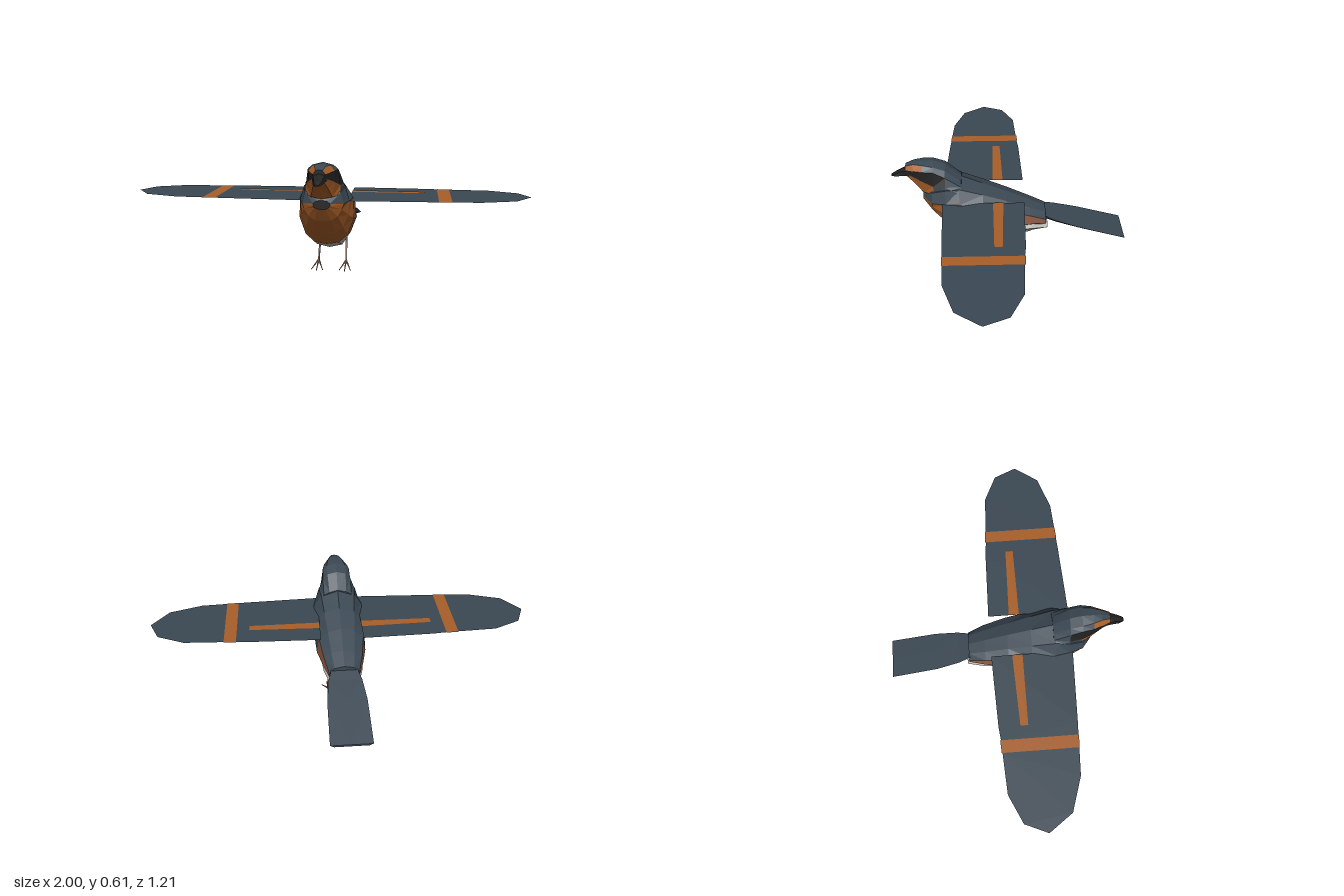
import * as THREE from 'three';

const mat = (name, color) => {
  const m = new THREE.MeshStandardMaterial({ color });
  m.name = name;
  return m;
};

export function createModel() {
  const blue = mat('slate blue', 0x3b4853);
  const orange = mat('orange', 0xa85f29);
  const flank = mat('rosy flank', 0x8f5c44);
  const black = mat('black', 0x212121);
  const white = mat('pale grey', 0xbab8b2);
  const legBrown = mat('leg brown', 0x94705c);
  const underGrey = mat('underwing grey', 0x666668);
  const underTan = mat('underwing tan', 0xa07844);

  const bird = new THREE.Group();
  bird.name = 'bird';

  // Faceted mirrored loft, front to back. A ring is [z, [x, y], ...] from bottom centre to top centre.
  // paint(strip, segment, triangle) picks the material of each face.
  function loft(name, rings, paint, frontCap, backCap) {
    const faces = new Map();
    const add = (m, a, b, c) => {
      if (!faces.has(m)) faces.set(m, []);
      const flip = (p) => [-p[0], p[1], p[2]];
      faces.get(m).push(...a, ...b, ...c, ...flip(a), ...flip(c), ...flip(b));
    };
    const pts = rings.map(([z, ...half]) => half.map(([x, y]) => [x, y, z]));
    for (let j = 0; j < pts.length - 1; j++) {
      for (let i = 0; i < pts[j].length - 1; i++) {
        const a = pts[j][i], b = pts[j][i + 1], c = pts[j + 1][i], d = pts[j + 1][i + 1];
        add(paint(i, j, 0), a, c, d);
        add(paint(i, j, 1), a, d, b);
      }
    }
    const first = pts[0], last = pts[pts.length - 1];
    for (let i = 1; i < first.length - 1; i++) {
      add(frontCap, first[0], first[i], first[i + 1]);
      add(backCap, last[0], last[i + 1], last[i]);
    }
    const group = new THREE.Group();
    group.name = name;
    for (const [m, list] of faces) {
      const g = new THREE.BufferGeometry();
      g.setAttribute('position', new THREE.Float32BufferAttribute(list, 3));
      g.computeVertexNormals();
      const mesh = new THREE.Mesh(g, m);
      mesh.name = `${name} ${m.name}`;
      group.add(mesh);
    }
    bird.add(group);
  }

  // Body: pale belly, orange breast, rosy flanks, blue back
  loft('body', [
    [0.448, [0, 0.395], [0.02, 0.398], [0.032, 0.404], [0.04, 0.412], [0.04, 0.424], [0.025, 0.436], [0, 0.44]],
    [0.40, [0, 0.33], [0.04, 0.335], [0.07, 0.355], [0.09, 0.39], [0.1, 0.415], [0.085, 0.47], [0, 0.5]],
    [0.33, [0, 0.25], [0.05, 0.26], [0.09, 0.29], [0.115, 0.35], [0.12, 0.42], [0.1, 0.49], [0, 0.53]],
    [0.26, [0, 0.185], [0.06, 0.195], [0.105, 0.235], [0.135, 0.32], [0.132, 0.425], [0.09, 0.49], [0, 0.522]],
    [0.14, [0, 0.14], [0.065, 0.155], [0.11, 0.225], [0.137, 0.305], [0.13, 0.395], [0.08, 0.45], [0, 0.472]],
    [0.02, [0, 0.162], [0.06, 0.18], [0.11, 0.265], [0.13, 0.28], [0.118, 0.37], [0.07, 0.405], [0, 0.422]],
    [-0.10, [0, 0.18], [0.055, 0.2], [0.09, 0.268], [0.105, 0.28], [0.1, 0.33], [0.06, 0.355], [0, 0.368]],
    [-0.185, [0, 0.235], [0.05, 0.24], [0.075, 0.262], [0.08, 0.272], [0.078, 0.29], [0.05, 0.318], [0, 0.328]],
  ], (i, j, t) => {
    if (i >= 4 || (i === 3 && j === 4 && t === 0)) return blue;
    if (j < 3) return orange;
    return i < 2 ? white : flank;
  }, black, blue);

  // Head: orange throat and brow, black mask, blue crown and nape
  loft('head', [
    [0.53, [0, 0.535], [0.02, 0.54], [0.028, 0.555], [0.028, 0.573], [0.016, 0.59], [0, 0.593]],
    [0.49, [0, 0.5], [0.035, 0.505], [0.045, 0.542], [0.045, 0.575], [0.026, 0.604], [0, 0.607]],
    [0.445, [0, 0.445], [0.05, 0.455], [0.064, 0.525], [0.062, 0.578], [0.04, 0.605], [0, 0.613]],
    [0.39, [0, 0.435], [0.085, 0.46], [0.082, 0.505], [0.072, 0.58], [0.05, 0.599], [0, 0.612]],
    [0.33, [0, 0.42], [0.11, 0.44], [0.092, 0.505], [0.075, 0.55], [0.05, 0.578], [0, 0.59]],
    [0.25, [0, 0.4], [0.115, 0.42], [0.1, 0.465], [0.075, 0.495], [0.045, 0.51], [0, 0.522]],
  ], (i, j) => {
    if (i < 2) return j < 3 ? orange : blue;
    if (i === 2) return j < 4 ? black : blue;
    if (i === 3) return j < 2 ? orange : blue;
    return blue;
  }, black, blue);

  // Beak, slightly hooked
  loft('beak', [
    [0.605, [0, 0.528], [0.01, 0.53], [0.008, 0.534], [0, 0.536]],
    [0.58, [0, 0.53], [0.022, 0.533], [0.018, 0.545], [0, 0.551]],
    [0.55, [0, 0.532], [0.026, 0.538], [0.022, 0.56], [0, 0.566]],
    [0.51, [0, 0.53], [0.034, 0.54], [0.034, 0.57], [0, 0.585]],
  ], () => black, black, black);

  // Tail: a thin sloping blade with edges bevelled inwards underneath
  loft('tail', [[-0.16, 0.062, 0.285, 0.312], [-0.24, 0.085, 0.266, 0.286], [-0.36, 0.1, 0.236, 0.251], [-0.605, 0.104, 0.171, 0.181]]
    .map(([z, w, lo, hi]) => [z, [0, lo], [w - 0.02, lo], [w, hi], [0, hi]]),
  () => blue, blue, blue);

  // Pale tuft under the tail
  loft('undertail tuft', [
    [-0.02, [0, 0.19], [0.07, 0.2], [0.108, 0.25], [0.098, 0.272], [0, 0.28]],
    [-0.11, [0, 0.2], [0.065, 0.215], [0.102, 0.25], [0.088, 0.28], [0, 0.285]],
    [-0.195, [0, 0.23], [0.05, 0.233], [0.08, 0.242], [0.068, 0.265], [0, 0.27]],
  ], () => white, white, white);

  // Wings: flat sheets with separate upper and lower faces
  const wingY = 0.42;
  function sheet(name, side, outline, y, up, material) {
    const shape = new THREE.Shape(outline.map(([x, z]) => new THREE.Vector2(side * x, up ? -z : z)));
    const g = new THREE.ShapeGeometry(shape);
    g.rotateX(up ? -Math.PI / 2 : Math.PI / 2);
    g.translate(0, y, 0);
    const mesh = new THREE.Mesh(g, material);
    mesh.name = name;
    bird.add(mesh);
  }
  const innerPanel = [[0.11, -0.07], [0.48, -0.06], [0.545, -0.053], [0.545, 0.328], [0.48, 0.332], [0.11, 0.348]];
  const bandPanel = [[0.545, -0.057], [0.608, -0.054], [0.608, 0.327], [0.545, 0.33]];
  const tipPanel = [[0.608, -0.05], [0.81, -0.04], [0.95, 0.025], [1, 0.14], [0.915, 0.26], [0.745, 0.317], [0.608, 0.325]];
  const innerStripe = [[0.11, 0.037], [0.48, 0.048], [0.48, 0.087], [0.11, 0.09]];

  // Legs: tapered rods between joints
  function rod(name, a, b, r0, r1) {
    const from = new THREE.Vector3(...a), to = new THREE.Vector3(...b);
    const dir = to.clone().sub(from);
    const g = new THREE.CylinderGeometry(r1, r0, dir.length(), 5).toNonIndexed();
    g.computeVertexNormals();
    const mesh = new THREE.Mesh(g, legBrown);
    mesh.name = name;
    mesh.position.copy(from).add(to).multiplyScalar(0.5);
    mesh.quaternion.setFromUnitVectors(new THREE.Vector3(0, 1, 0), dir.normalize());
    bird.add(mesh);
  }

  for (const side of [1, -1]) {
    const label = side > 0 ? 'left' : 'right';
    for (const up of [true, false]) {
      const face = up ? 'upper' : 'lower';
      const y = up ? wingY : wingY - 0.002;
      sheet(`${label} wing ${face} inner`, side, innerPanel, y, up, up ? blue : underGrey);
      sheet(`${label} wing ${face} band`, side, bandPanel, y, up, up ? orange : underTan);
      sheet(`${label} wing ${face} tip`, side, tipPanel, y, up, up ? blue : underGrey);
    }
    sheet(`${label} wing stripe`, side, innerStripe, wingY + 0.002, true, orange);

    const x = side * 0.074, ankle = [x, 0.038, 0.015];
    rod(`${label} leg`, [side * 0.068, 0.235, -0.055], ankle, 0.007, 0.005);
    for (const [dx, z] of [[-0.03, 0.09], [0, 0.118], [0.03, 0.09], [0, -0.05]]) {
      rod(`${label} toe`, ankle, [x + dx, 0.003, z], 0.005, 0.002);
    }
  }
  return bird;
}
